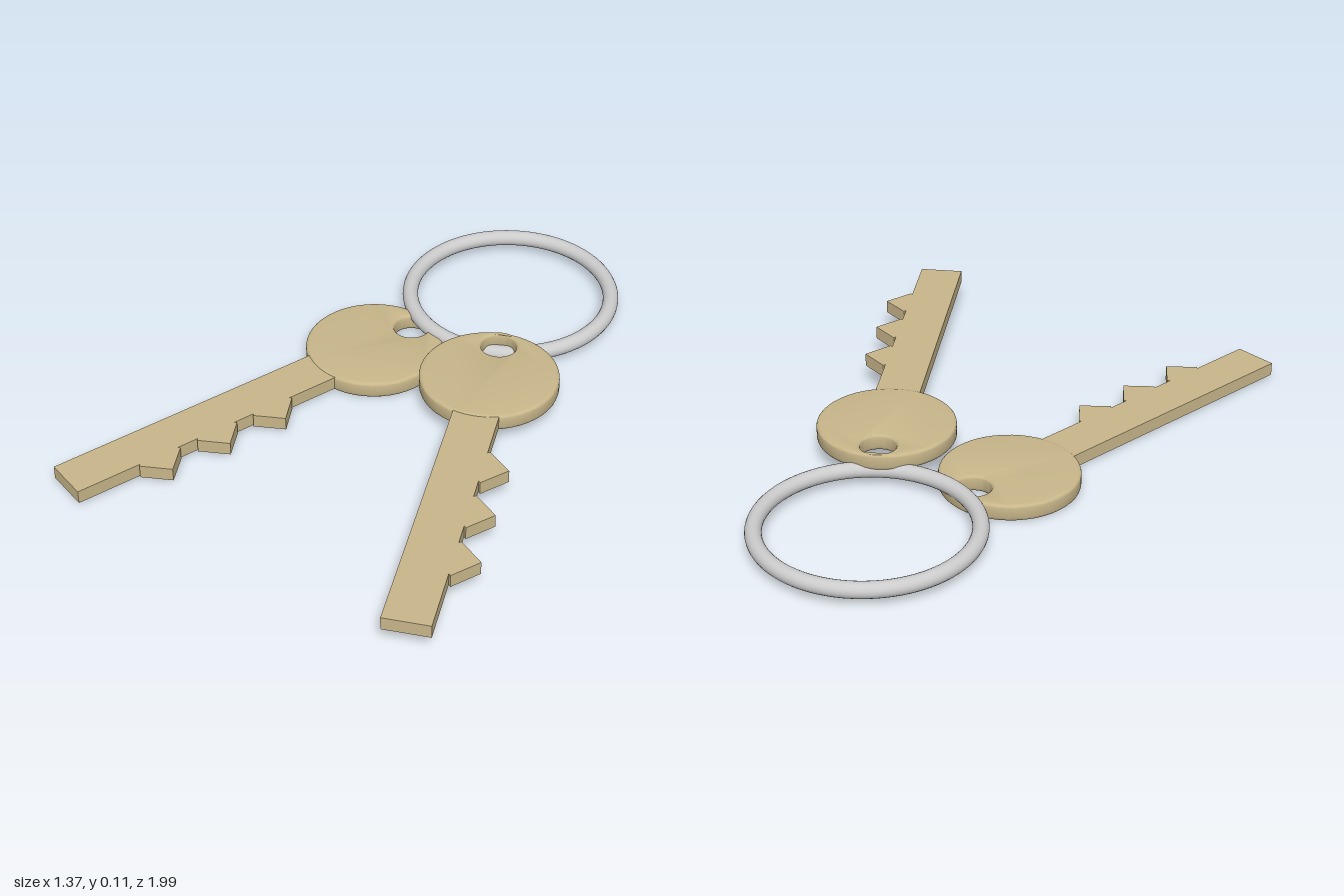
import * as THREE from 'three';
import { toCreasedNormals } from 'three/addons/utils/BufferGeometryUtils.js';

const steel = new THREE.MeshStandardMaterial({ color: 0xcccccc });
const brass = new THREE.MeshStandardMaterial({ color: 0xc8b68a });

const HEAD_R = 0.225, HEAD_H = 0.055, BEVEL = 0.01;
const HOLE_R = 0.058, HOLE_OFFSET = 0.154;
const BLADE_HALF = 0.0735, BLADE_H = 0.044, BLADE_START = 0.15, BLADE_END = 1.16;
const TOOTH_R = 0.074, TOOTH_SIDE = 0.08, TEETH = [0.457, 0.665, 0.874];

// Round bow with softened rims and a ring hole
function headGeometry() {
  const disc = new THREE.Shape().absarc(0, 0, HEAD_R, 0, Math.PI * 2, false);
  disc.holes.push(new THREE.Path().absarc(0, HOLE_OFFSET, HOLE_R, 0, Math.PI * 2, true));
  const geometry = new THREE.ExtrudeGeometry(disc, {
    depth: HEAD_H - 2 * BEVEL, curveSegments: 24,
    bevelSize: BEVEL, bevelThickness: BEVEL, bevelOffset: -BEVEL, bevelSegments: 3,
  });
  geometry.translate(0, 0, BEVEL).rotateX(-Math.PI / 2);
  return toCreasedNormals(geometry, 0.55);
}

// Straight blade with diamond teeth rising from one edge
function bladeGeometry() {
  const w = BLADE_HALF;
  const foot = TOOTH_R - (TOOTH_SIDE - w);
  const points = [[-w, BLADE_START], [w, BLADE_START]];
  for (const a of TEETH) {
    points.push(
      [w, a - foot], [TOOTH_SIDE, a - TOOTH_R], [TOOTH_SIDE + TOOTH_R, a],
      [TOOTH_SIDE, a + TOOTH_R], [w, a + foot],
    );
  }
  points.push([w, BLADE_END], [-w, BLADE_END]);
  const outline = new THREE.Shape(points.map(([x, along]) => new THREE.Vector2(x, -along)));
  const geometry = new THREE.ExtrudeGeometry(outline, { depth: BLADE_H, bevelEnabled: false });
  return geometry.translate(0, 0, (HEAD_H - BLADE_H) / 2 + 0.002).rotateX(-Math.PI / 2);
}

function addMesh(parent, name, geometry, material) {
  const mesh = new THREE.Mesh(geometry, material);
  mesh.name = name;
  parent.add(mesh);
  return mesh;
}

export function createModel() {
  const group = new THREE.Group();
  group.name = 'keyRing';

  // Split ring lying flat
  const ring = addMesh(group, 'ring', new THREE.TorusGeometry(0.341, 0.026, 20, 80), steel);
  ring.rotation.x = -Math.PI / 2;
  ring.position.set(0.055, 0.05, -0.633);

  // Two identical keys, fanned out, one above the other
  const head = headGeometry(), blade = bladeGeometry();
  const keys = [
    ['rightKey', -0.188, 0.001, -0.145, -22],
    ['leftKey', 0.254, 0.06, -0.132, 18],
  ];
  for (const [name, x, y, z, degrees] of keys) {
    const key = new THREE.Group();
    key.name = name;
    key.position.set(x, y, z);
    key.rotation.y = THREE.MathUtils.degToRad(degrees);
    addMesh(key, 'head', head, brass);
    addMesh(key, 'blade', blade, brass);
    group.add(key);
  }
  return group;
}
